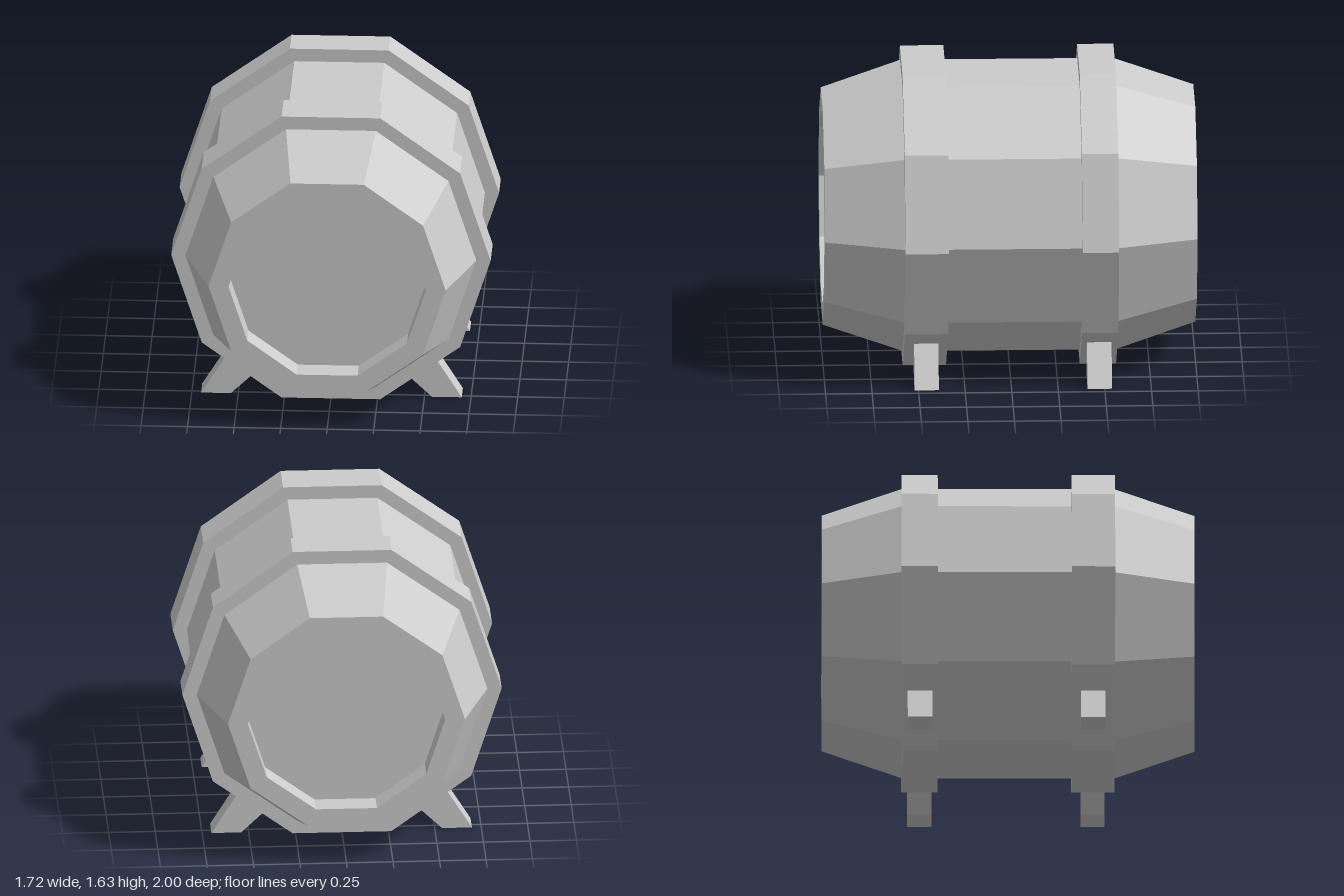
import * as THREE from 'three';

const SIDES = 10;
const CENTRE_Y = 0.818;
const material = new THREE.MeshStandardMaterial({ color: 0xcccccc, flatShading: true });

// Revolve a [radius, z] profile around the barrel's z axis, with a corner on +x
function revolve(name, profile) {
  const points = profile.map(([r, z]) => new THREE.Vector2(r, z));
  const geometry = new THREE.LatheGeometry(points, SIDES, Math.PI / 2);
  geometry.rotateX(Math.PI / 2);
  const mesh = new THREE.Mesh(geometry, material);
  mesh.position.y = CENTRE_Y;
  mesh.name = name;
  return mesh;
}

// Splayed foot, widening towards the barrel
function makeLeg(name, side, z0, z1) {
  const outline = [[0.54, 0], [0.70, 0], [0.51, 0.305], [0.34, 0.19]];
  const shape = new THREE.Shape(outline.map(([x, y]) => new THREE.Vector2(side * x, y)));
  const geometry = new THREE.ExtrudeGeometry(shape, { depth: z1 - z0, bevelEnabled: false });
  geometry.translate(0, 0, z0);
  const mesh = new THREE.Mesh(geometry, material);
  mesh.name = name;
  return mesh;
}

export function createModel() {
  const group = new THREE.Group();
  group.name = 'barrel';

  // Body with tapered ends and recessed heads
  group.add(revolve('barrelBody', [
    [0, -0.86], [0.53, -0.86], [0.53, -1], [0.637, -1], [0.782, -0.57],
    [0.782, 0.57], [0.637, 1], [0.53, 1], [0.53, 0.86], [0, 0.86],
  ]));

  // Hoops, each with a pair of legs beneath
  const hoops = [
    { end: 'front', z: [0.34, 0.573], leg: [0.39, 0.52] },
    { end: 'back', z: [-0.573, -0.378], leg: [-0.54, -0.408] },
  ];
  for (const { end, z, leg } of hoops) {
    group.add(revolve(end + 'Hoop', [
      [0.76, z[0]], [0.858, z[0]], [0.858, z[1]], [0.76, z[1]], [0.76, z[0]],
    ]));
    group.add(makeLeg(end + 'LeftLeg', 1, ...leg));
    group.add(makeLeg(end + 'RightLeg', -1, ...leg));
  }
  return group;
}
